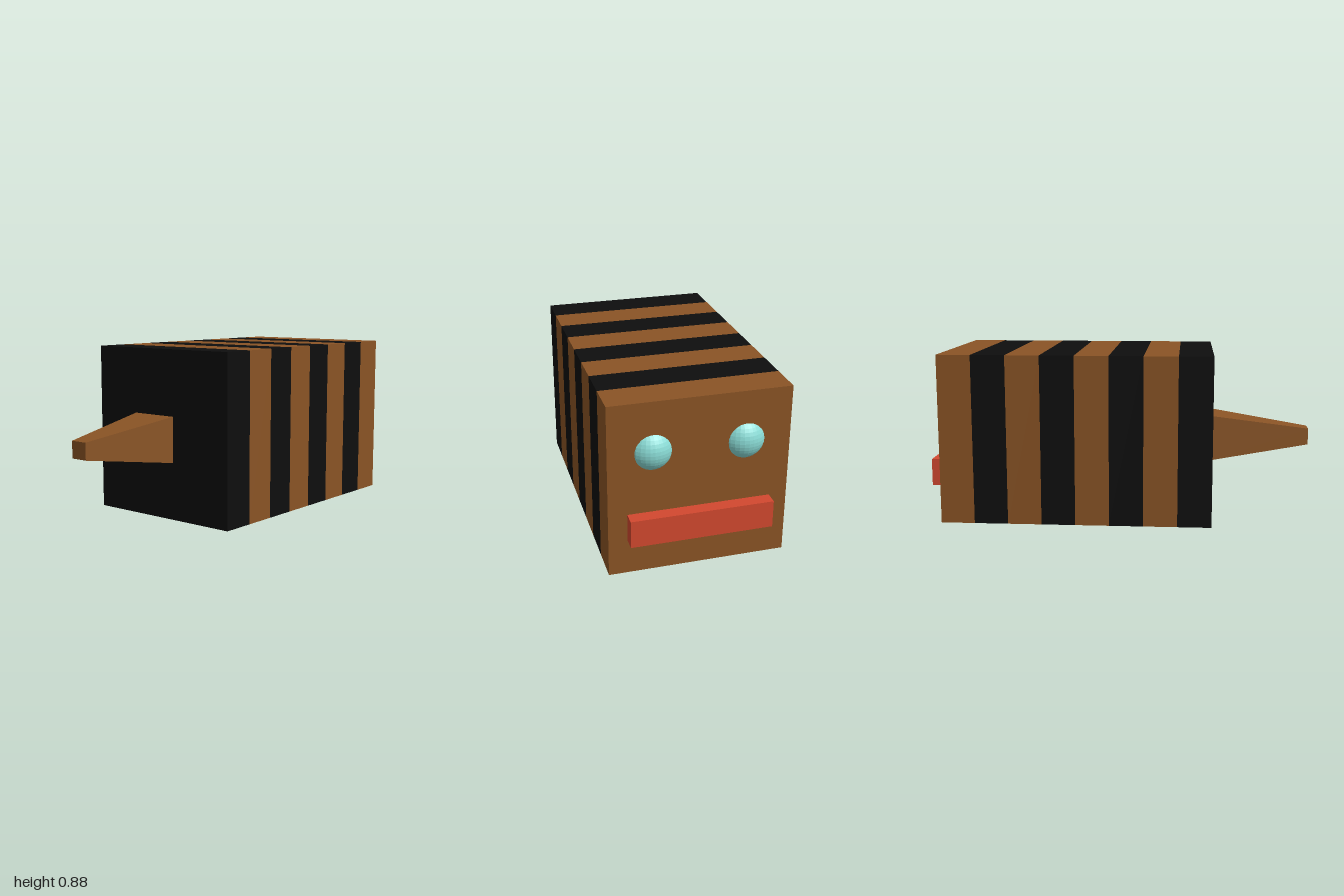
import * as THREE from 'three';

const SIZE = 0.884, FRONT = 0.48, BACK = -0.934, STRIPES = 8;

export function createModel() {
  const model = new THREE.Group();
  model.name = 'stripedBee';

  const paint = (color) => new THREE.MeshStandardMaterial({ color });
  const black = paint(0x0e0e0e), brown = paint(0x8a5425);
  const red = paint(0xd2482f), teal = paint(0x8adcd6);
  teal.flatShading = true;

  function add(name, geometry, material, x, y, z) {
    const mesh = new THREE.Mesh(geometry, material);
    mesh.name = name;
    mesh.position.set(x, y, z);
    model.add(mesh);
    return mesh;
  }

  // Body: a row of square slabs, black at the sting and brown at the face
  const depth = (FRONT - BACK) / STRIPES;
  const slab = new THREE.BoxGeometry(SIZE, SIZE, depth);
  for (let i = 0; i < STRIPES; i++) {
    add(`bodyStripe${i + 1}`, slab, i % 2 ? brown : black, 0, SIZE / 2, FRONT - (i + 0.5) * depth);
  }

  // Sting: a box whose outer end is narrowed, set slightly off centre
  const length = 1 - FRONT;
  const sting = new THREE.BoxGeometry(0.263, 0.24, length);
  const p = sting.attributes.position;
  for (let i = 0; i < p.count; i++) {
    if (p.getZ(i) > 0) p.setXY(i, p.getX(i) * 0.36, p.getY(i) * 0.36);
  }
  sting.computeVertexNormals();
  add('sting', sting, brown, -0.049, 0.42, FRONT + length / 2);

  // Eyes: spheres sunk into the face so that only shallow caps show
  const eye = new THREE.SphereGeometry(0.117, 32, 20);
  for (const [name, side] of [['leftEye', 1], ['rightEye', -1]]) {
    add(name, eye, teal, side * 0.225, 0.63, -0.858);
  }

  // Mouth: a wide bar standing out from the face
  add('mouth', new THREE.BoxGeometry(0.703, 0.14, 1 + BACK), red, -0.002, 0.25, (BACK - 1) / 2);

  return model;
}
